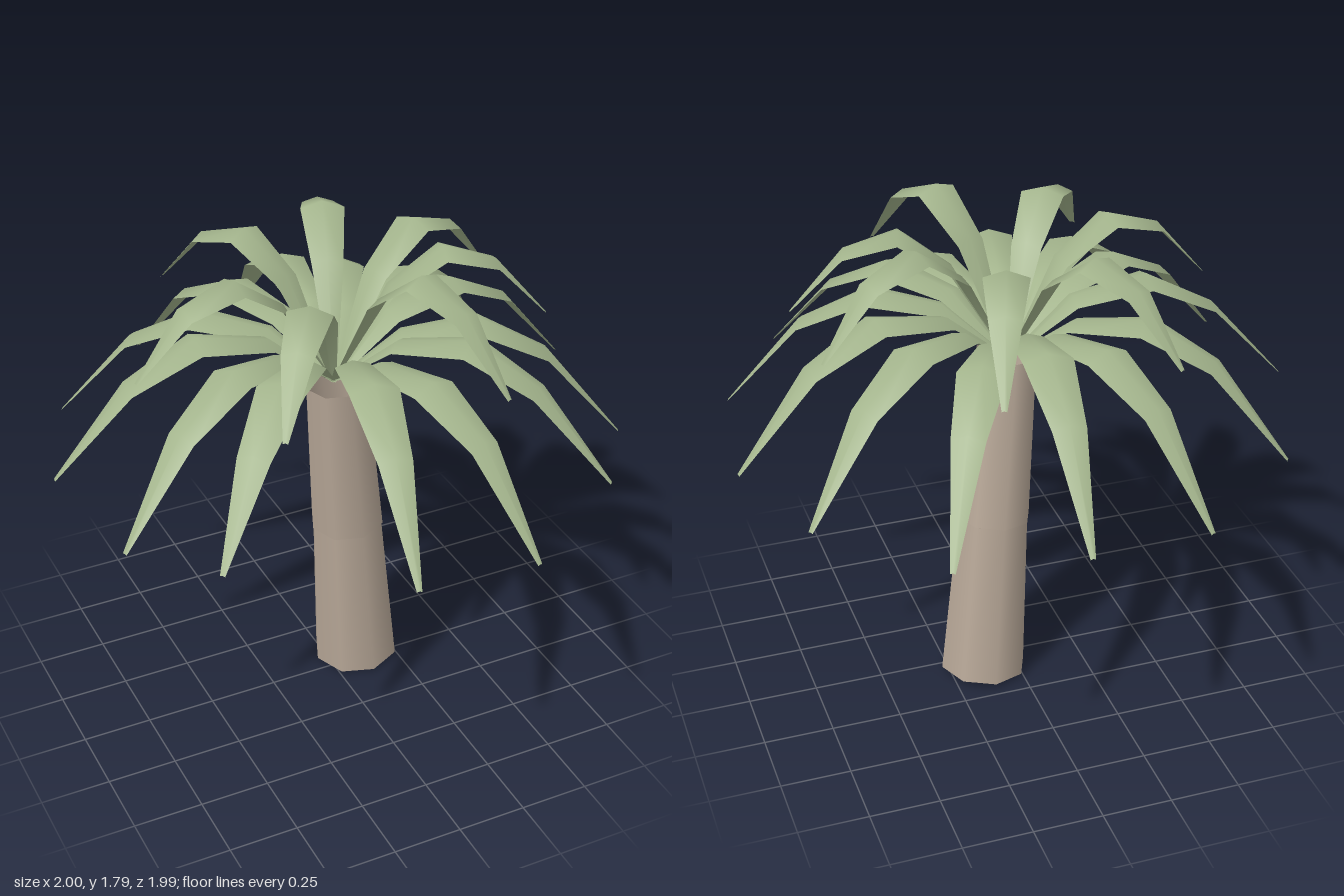
import * as THREE from 'three';

const bark = new THREE.MeshStandardMaterial({ color: 0xb8a898, side: THREE.DoubleSide });
bark.name = 'bark';
const leaf = new THREE.MeshStandardMaterial({ color: 0xa3b48c, side: THREE.DoubleSide });
leaf.name = 'leafGreen';

// Open eight-sided tube, tapered between two points
function trunkSegment(name, from, to, r0, r1) {
  const a = new THREE.Vector3(...from), b = new THREE.Vector3(...to);
  const axis = b.clone().sub(a);
  const mesh = new THREE.Mesh(new THREE.CylinderGeometry(r1, r0, axis.length(), 8, 1, true), bark);
  mesh.position.copy(a).add(b).multiplyScalar(0.5);
  mesh.quaternion.setFromUnitVectors(new THREE.Vector3(0, 1, 0), axis.normalize());
  mesh.name = name;
  return mesh;
}

// Arched leaf with a raised midrib, from the crown to a tip.
// Each section is [share of reach, ridge height, width]; lift raises the middle of the arch.
function frond(name, [x, z, tipY, lift], sections) {
  const reach = Math.hypot(x, z), dx = x / reach, dz = z / reach;
  const pos = [], index = [];
  sections.forEach(([share, height, width], i) => {
    const r = share * reach;
    const y = i === sections.length - 1 ? tipY : height + lift * Math.sin(Math.PI * share);
    for (const side of [1, 0, -1]) {
      const w = side * width / 2;
      pos.push(dx * r + dz * w, y - Math.abs(w) * 0.34, dz * r - dx * w);
    }
    if (i) {
      for (const k of [3 * i - 3, 3 * i - 2]) index.push(k, k + 1, k + 3, k + 1, k + 4, k + 3);
    }
  });
  const geo = new THREE.BufferGeometry();
  geo.setAttribute('position', new THREE.Float32BufferAttribute(pos, 3));
  geo.setIndex(index);
  geo.computeVertexNormals();
  const mesh = new THREE.Mesh(geo, leaf);
  mesh.name = name;
  return mesh;
}

function crown(name, leafName, tips, arc) {
  const group = new THREE.Group();
  group.name = name;
  tips.forEach((tip) => group.add(frond(leafName, tip, arc)));
  return group;
}

export function createModel() {
  const model = new THREE.Group();
  model.name = 'palmTree';

  // Leaning trunk in two lengths
  model.add(trunkSegment('lowerTrunk', [0.122, 0.018, -0.06], [0.07, 0.65, -0.032], 0.16, 0.132));
  model.add(trunkSegment('upperTrunk', [0.07, 0.648, -0.032], [0.005, 1.27, 0.013], 0.137, 0.114));

  // Drooping lower fronds: tip x, z, y and lift
  const lower = [
    [-0.38, -0.93, 1.02, -0.04], [0.06, -1, 1.06, 0], [0.48, -0.88, 1.02, -0.04],
    [0.85, -0.54, 1.04, -0.03], [1, -0.15, 1.06, 0], [0.92, 0.41, 1.04, -0.02],
    [0.68, 0.74, 1.08, 0], [0.27, 0.97, 1.02, -0.05], [-0.18, 0.99, 1.07, 0.005],
    [-0.72, 0.7, 1.11, 0], [-0.93, 0.39, 1.06, -0.01], [-1, -0.09, 1.08, 0.005],
    [-0.8, -0.6, 1.03, -0.04],
  ];
  const lowerArc = [[0, 1.26, 0.02], [0.23, 1.465, 0.12], [0.49, 1.52, 0.17], [0.73, 1.39, 0.115], [1, 0, 0.018]];
  model.add(crown('lowerCrown', 'lowerFrond', lower, lowerArc));

  // Shorter raised upper fronds
  const upper = [
    [-0.38, -0.63, 1.46, -0.01], [0.25, -0.7, 1.46, 0.01], [0.71, -0.22, 1.46, 0.005],
    [0.72, 0.2, 1.46, -0.01], [0.3, 0.68, 1.47, 0.035], [-0.45, 0.59, 1.46, -0.01],
    [-0.74, 0.05, 1.46, -0.015],
  ];
  const upperArc = [[0, 1.26, 0.02], [0.26, 1.62, 0.11], [0.5, 1.757, 0.155], [0.75, 1.69, 0.11], [1, 0, 0.018]];
  model.add(crown('upperCrown', 'upperFrond', upper, upperArc));
  return model;
}
